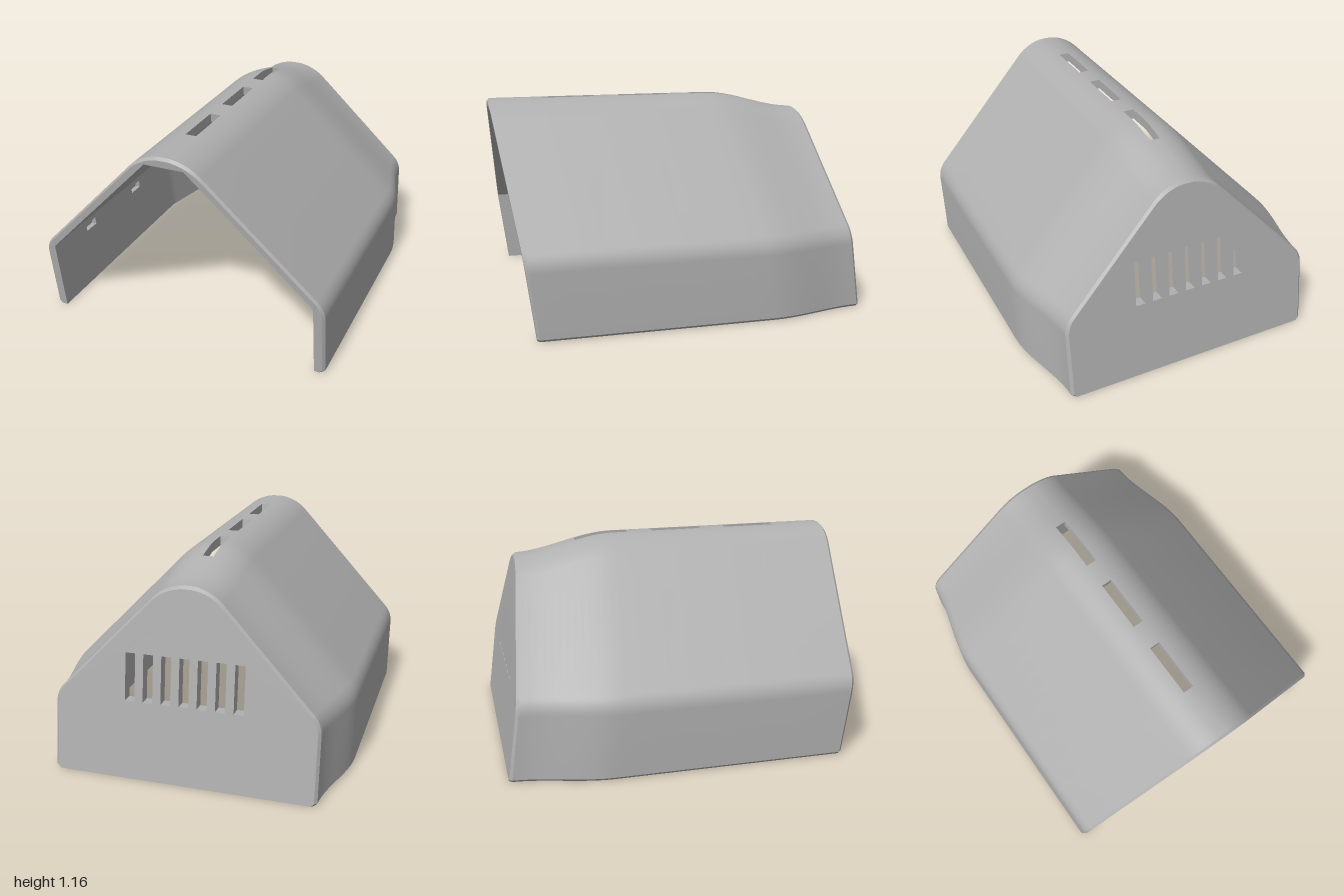
import * as THREE from 'three';
import { toCreasedNormals } from 'three/addons/utils/BufferGeometryUtils.js';

const LEAN = 0.134;                 // both ends lean forward: z = s + LEAN * y
const FRONT = 0.845, BACK = -1, WALL = 0.06, CHAMFER = 0.015;
const NX = 0.718, NY = 0.696;       // roof slope normal
const ridgeSlots = [[0.234, 0.534], [-0.21, 0.084], [-0.66, -0.356]];
const notches = [[0.43, 0.53], [-0.1, 0]];

const mirrored = half => [...half, ...half.slice().reverse().map(([x, y]) => [-x, y])];

// Outer section, drawn in by d: chamfered foot, rounded eaves, rounded ridge
function outerSection(d) {
  const w = 0.83 - d, top = 1.165 - d, line = NX * w + 0.3;
  const half = [[w - CHAMFER, 0], [w, CHAMFER]];
  const slope = Math.atan2(NY, NX);
  const arc = (cx, cy, r, a0, a1, n) => {
    for (let i = 0; i <= n; i++) {
      const a = a0 + (a1 - a0) * i / n;
      half.push([cx + r * Math.cos(a), cy + r * Math.sin(a)]);
    }
  };
  const re = 0.15;
  arc(w - re, (line - re - NX * (w - re)) / NY, re, 0, slope, 7);
  const r = (line - NY * top) / (1 - NY);
  arc(0, top - r, r, slope, Math.acos(0.03 / r), 10);
  return mirrored(half);
}

// Inner section: plain five-sided tunnel with columns for notches and slots
function innerSection(d) {
  const w = 0.77 - d, top = 1.11 - d;
  return mirrored([[w, 0], [w, 0.355], [w, 0.4], [w, 0.43], [0.11, top], [0.03, top]]);
}

const outerTaper = s => 0.1 * THREE.MathUtils.smoothstep(-s, 0.45, 1);
const innerTaper = s => 0.095 * THREE.MathUtils.clamp((-s - 0.5) / 0.44, 0, 1);
const place = (section, s) => section.map(([x, y]) => new THREE.Vector3(x, y, s + LEAN * y));

// Collects quads into a geometry
class Quads {
  constructor() { this.p = []; }
  add(a, b, c, d, flip = false) {
    const order = flip ? [a, d, c, a, c, b] : [a, b, c, a, c, d];
    order.forEach(v => this.p.push(v.x, v.y, v.z));
  }
  grid(rows, stations, holes, flip) {
    for (let i = 0; i < rows.length - 1; i++) {
      const mid = (stations[i] + stations[i + 1]) / 2;
      for (let j = 0; j < rows[i].length - 1; j++) {
        if (holes.some(h => h.j === j && mid > h.s[0] && mid < h.s[1])) continue;
        this.add(rows[i][j], rows[i + 1][j], rows[i + 1][j + 1], rows[i][j + 1], flip);
      }
    }
  }
  walls(a, b, flip) {
    a.forEach((v, k) => {
      const n = (k + 1) % a.length;
      this.add(v, a[n], b[n], b[k], flip);
    });
  }
  geometry() {
    const g = new THREE.BufferGeometry();
    g.setAttribute('position', new THREE.Float32BufferAttribute(this.p, 3));
    return toCreasedNormals(g, 0.5);
  }
}

export function createModel() {
  const group = new THREE.Group();
  const grey = new THREE.MeshStandardMaterial({ color: 0xb0b0b0, side: THREE.DoubleSide });
  grey.name = 'grey plastic';
  const addMesh = (name, geometry) => {
    const mesh = new THREE.Mesh(geometry, grey);
    mesh.name = name;
    group.add(mesh);
  };

  // Stations from front to back, including every opening's ends
  const list = [FRONT, FRONT - CHAMFER, ...ridgeSlots.flat(), ...notches.flat(),
    -0.45, BACK + CHAMFER, BACK];
  for (let i = 0; i <= 11; i++) list.push(-0.5 - i * 0.04);
  const stations = [...new Set(list.map(s => +s.toFixed(3)))].sort((a, b) => b - a);
  const outer = stations.map((s, i) => {
    const end = i === 0 || i === stations.length - 1;
    return place(outerSection(outerTaper(s) + (end ? CHAMFER : 0)), s);
  });
  const innerStations = stations.filter(s => s >= BACK + WALL - 0.001);
  const inner = innerStations.map(s => place(innerSection(innerTaper(s)), s));
  const outerMid = outer[0].length / 2 - 1, innerMid = inner[0].length / 2 - 1;
  const ring = (rows, [s0, s1], j) => {
    const part = rows.filter((_, i) => stations[i] >= s0 - 0.001 && stations[i] <= s1 + 0.001);
    return [...part.map(r => r[j]), ...part.map(r => r[j + 1]).reverse()];
  };

  // Outer skin
  const skin = new Quads();
  skin.grid(outer, stations, ridgeSlots.map(s => ({ s, j: outerMid })), false);
  addMesh('outerShell', skin.geometry());

  // Inner skin with shallow clip notches in both side walls
  const lining = new Quads();
  const sides = [[1, 1], [inner[0].length - 3, -1]];
  const innerHoles = ridgeSlots.map(s => ({ s, j: innerMid }));
  for (const s of notches) for (const [j] of sides) innerHoles.push({ s, j });
  lining.grid(inner, innerStations, innerHoles, true);
  addMesh('innerShell', lining.geometry());

  const pockets = new Quads();
  for (const s of notches) for (const [j, side] of sides) {
    const mouth = ring(inner, s, j);
    const floor = mouth.map(v => v.clone().add(new THREE.Vector3(side * 0.03, 0, 0)));
    pockets.walls(mouth, floor, true);
    pockets.add(floor[0], floor[1], floor[2], floor[3], true);
  }
  addMesh('clipNotches', pockets.geometry());

  // Walls of the vents along the ridge
  const vents = new Quads();
  for (const s of ridgeSlots) vents.walls(ring(outer, s, outerMid), ring(inner, s, innerMid), false);
  addMesh('ridgeVentWalls', vents.geometry());

  // Undersides of the side walls
  const feet = new Quads();
  for (let i = 0; i < inner.length - 1; i++) {
    feet.add(outer[i][0], inner[i][0], inner[i + 1][0], outer[i + 1][0]);
    feet.add(outer[i].at(-1), inner[i].at(-1), inner[i + 1].at(-1), outer[i + 1].at(-1), true);
  }
  addMesh('bottomEdges', feet.geometry());

  // Leaning flat parts: front rim and vented back panel
  const lean = s => new THREE.Matrix4().set(1, 0, 0, 0, 0, 1, 0, 0, 0, LEAN, 1, s, 0, 0, 0, 1);
  const toShape = pts => new THREE.Shape(pts.map(([x, y]) => new THREE.Vector2(x, y)));
  const rim = toShape([...outerSection(CHAMFER), ...innerSection(0).reverse()]);
  addMesh('frontRim', new THREE.ShapeGeometry(rim).applyMatrix4(lean(FRONT)));

  const panel = toShape(outerSection(0.1 + CHAMFER));
  for (let i = -3; i <= 3; i++) {
    const x = i * 0.1, h = 0.027;
    panel.holes.push(new THREE.Path([[x - h, 0.43], [x - h, 0.69], [x + h, 0.69], [x + h, 0.43]]
      .map(([px, py]) => new THREE.Vector2(px, py))));
  }
  const back = new THREE.ExtrudeGeometry(panel, { depth: WALL, bevelEnabled: false });
  addMesh('backPanel', back.applyMatrix4(lean(BACK)));

  return group;
}
